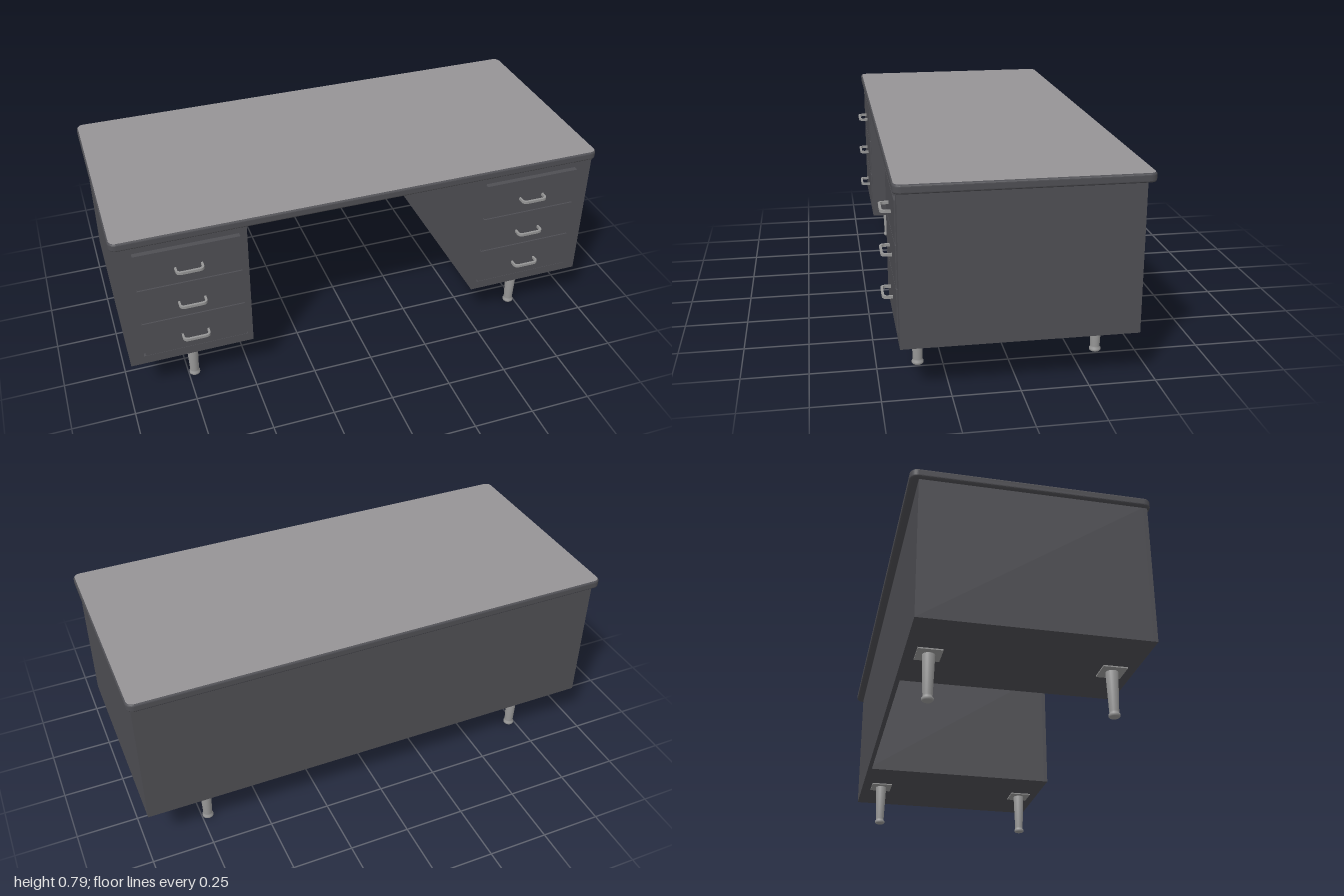
import * as THREE from 'three';

const bodyPaint = new THREE.MeshStandardMaterial({ color: 0x4e4e53 });
bodyPaint.name = 'dark grey paint';
const topLaminate = new THREE.MeshStandardMaterial({ color: 0x959395 });
topLaminate.name = 'grey laminate';
const metal = new THREE.MeshStandardMaterial({ color: 0x969696 });
metal.name = 'brushed metal';

function add(parent, name, geometry, material, x = 0, y = 0, z = 0) {
  const mesh = new THREE.Mesh(geometry, material);
  mesh.name = name;
  mesh.position.set(x, y, z);
  parent.add(mesh);
  return mesh;
}

// Box given by its lower and upper limits on each axis
function block(parent, name, material, [x0, x1], [y0, y1], [z0, z1]) {
  return add(parent, name, new THREE.BoxGeometry(x1 - x0, y1 - y0, z1 - z0), material,
    (x0 + x1) / 2, (y0 + y1) / 2, (z0 + z1) / 2);
}

function roundedRect(w, d, r) {
  const s = new THREE.Shape();
  const x = w / 2, y = d / 2;
  s.absarc(x - r, y - r, r, 0, Math.PI / 2);
  s.absarc(-x + r, y - r, r, Math.PI / 2, Math.PI);
  s.absarc(-x + r, -y + r, r, Math.PI, Math.PI * 1.5);
  s.absarc(x - r, -y + r, r, Math.PI * 1.5, Math.PI * 2);
  s.closePath();
  return s;
}

// Desktop: dark rounded rim with a lighter writing surface
function desktop() {
  const group = new THREE.Group();
  group.name = 'desktop';
  const bevel = 0.008;
  const rim = new THREE.ExtrudeGeometry(roundedRect(2 - 2 * bevel, 0.914 - 2 * bevel, 0.022), {
    depth: 0.034 - 2 * bevel, bevelEnabled: true, bevelThickness: bevel,
    bevelSize: bevel, bevelSegments: 4, curveSegments: 8,
  });
  rim.rotateX(-Math.PI / 2);
  add(group, 'desktopRim', rim, bodyPaint, 0, 0.755 + bevel, -0.014);
  const surface = new THREE.ShapeGeometry(roundedRect(1.99, 0.904, 0.025), 8);
  surface.rotateX(-Math.PI / 2);
  add(group, 'writingSurface', surface, topLaminate, 0, 0.79, -0.014);
  return group;
}

// Flat bow pull, bent out from the drawer front
function handleGeometry() {
  const s = new THREE.Shape();
  s.moveTo(-0.055, 0);
  s.lineTo(-0.055, 0.022);
  s.quadraticCurveTo(-0.053, 0.04, -0.033, 0.04);
  s.lineTo(0.033, 0.04);
  s.quadraticCurveTo(0.053, 0.04, 0.055, 0.022);
  s.lineTo(0.055, 0);
  s.lineTo(0.047, 0);
  s.lineTo(0.047, 0.02);
  s.quadraticCurveTo(0.046, 0.031, 0.032, 0.031);
  s.lineTo(-0.032, 0.031);
  s.quadraticCurveTo(-0.046, 0.031, -0.047, 0.02);
  s.lineTo(-0.047, 0);
  s.closePath();
  const g = new THREE.ExtrudeGeometry(s, { depth: 0.011, bevelEnabled: false, curveSegments: 6 });
  g.rotateX(Math.PI / 2);
  g.translate(0, 0.0055, 0);
  return g;
}

// Tapered leg with a rounded glide at the foot
function legGeometry() {
  const profile = [[0, 0], [0.019, 0], [0.0225, 0.004], [0.0225, 0.011], [0.018, 0.016],
    [0.0185, 0.022], [0.0245, 0.184], [0, 0.184]];
  return new THREE.LatheGeometry(profile.map(([r, y]) => new THREE.Vector2(r, y)), 24);
}

function pedestal(side, handle, leg) {
  const group = new THREE.Group();
  group.name = side > 0 ? 'leftPedestal' : 'rightPedestal';
  const span = (a, b) => (side > 0 ? [a, b] : [-b, -a]);

  // Cabinet with a raised frame around the drawers
  block(group, 'cabinet', bodyPaint, span(0.486, 0.983), [0.187, 0.756], [-0.438, 0.412]);
  block(group, 'innerStile', bodyPaint, span(0.486, 0.508), [0.187, 0.756], [0.412, 0.429]);
  block(group, 'outerStile', bodyPaint, span(0.928, 0.983), [0.187, 0.756], [0.412, 0.429]);
  block(group, 'bottomRail', bodyPaint, span(0.508, 0.928), [0.187, 0.224], [0.412, 0.429]);

  // Pull-out board above the drawers
  block(group, 'pullOutBoard', bodyPaint, span(0.513, 0.923), [0.731, 0.753], [0.4, 0.435]);

  // Drawers and their pulls
  for (let i = 0; i < 3; i++) {
    const y = 0.229 + i * 0.163;
    block(group, 'drawerFront', bodyPaint, span(0.513, 0.921), [y, y + 0.158], [0.405, 0.433]);
    add(group, 'drawerHandle', handle, metal, side * 0.718, 0.296 + i * 0.1645, 0.433);
  }

  // Legs on square mounting plates
  for (const z of [-0.348, 0.344]) {
    add(group, 'leg', leg, metal, side * 0.725, 0, z);
    block(group, 'legPlate', metal, span(0.678, 0.772), [0.182, 0.188], [z - 0.047, z + 0.047]);
  }
  return group;
}

export function createModel() {
  const model = new THREE.Group();
  model.name = 'desk';
  const handle = handleGeometry();
  const leg = legGeometry();
  model.add(desktop());
  for (const side of [-1, 1]) model.add(pedestal(side, handle, leg));
  // Full-height panel closing the back of the kneehole
  block(model, 'modestyPanel', bodyPaint, [-0.486, 0.486], [0.187, 0.756], [-0.438, -0.42]);
  return model;
}
